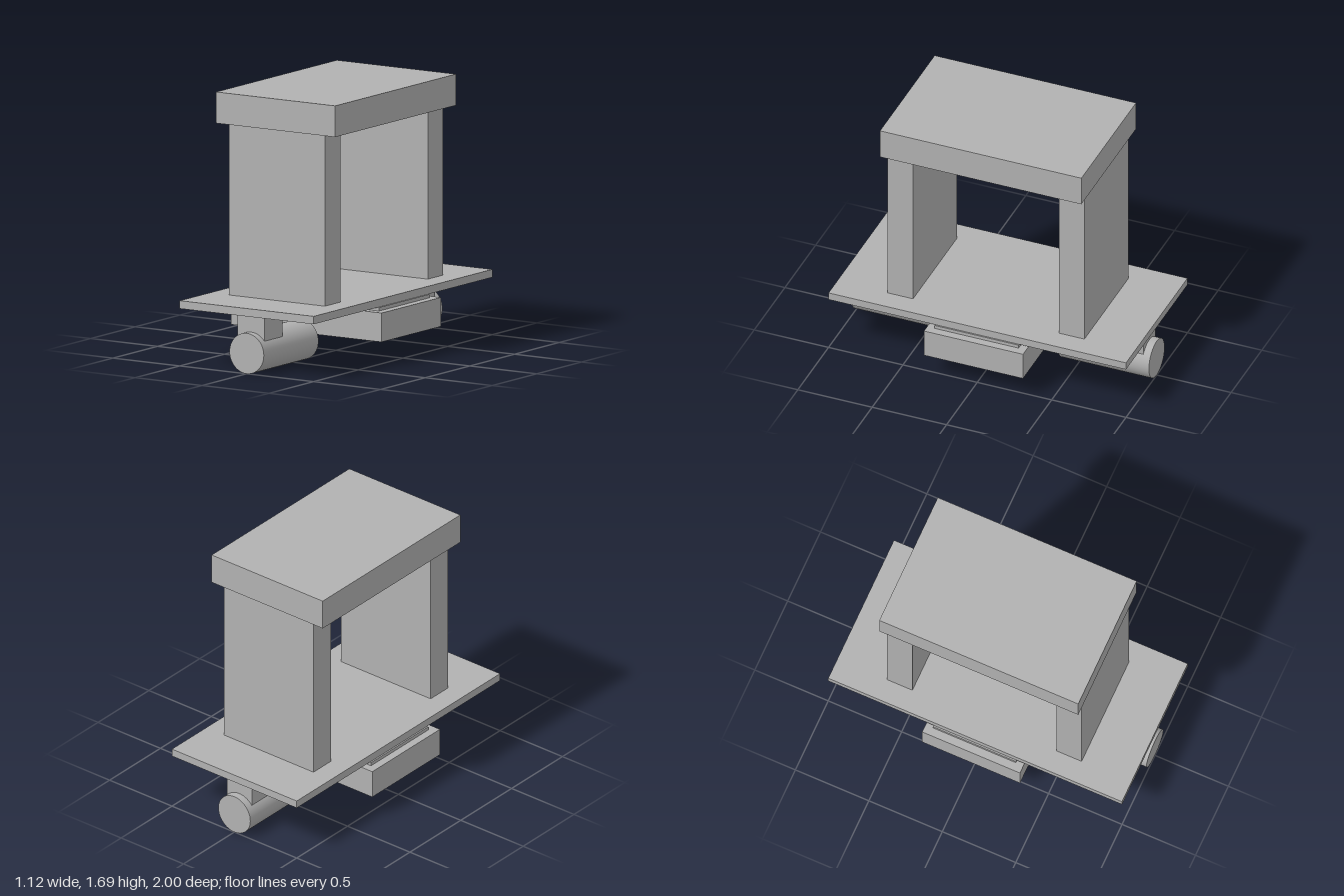
import * as THREE from 'three';

export function createModel() {
  const model = new THREE.Group();
  const grey = new THREE.MeshStandardMaterial({ color: 0xb2b2b2 });
  grey.name = 'grey';

  function add(name, geometry, x, y, z) {
    const mesh = new THREE.Mesh(geometry, grey);
    mesh.name = name;
    mesh.position.set(x, y, z);
    model.add(mesh);
    return mesh;
  }

  // Box given by full width, bottom, top, and z range
  function box(name, width, y0, y1, z0, z1) {
    return add(name, new THREE.BoxGeometry(width, y1 - y0, z1 - z0), 0, (y0 + y1) / 2, (z0 + z1) / 2);
  }

  // Stacked plates
  box('roof', 0.89, 1.49, 1.687, -0.677, 0.677);
  box('deck', 1.0, 0.362, 0.412, -1, 1);
  box('spacer', 1.02, 0.34, 0.362, -0.282, 0.282);
  box('lowerBlock', 1.124, 0.157, 0.34, -0.333, 0.333);

  // Upright walls, brackets and rollers at both ends
  for (const [end, s] of [['front', 1], ['back', -1]]) {
    const mirrored = (name, width, y0, y1, z0, z1) =>
      box(end + name, width, y0, y1, Math.min(s * z0, s * z1), Math.max(s * z0, s * z1));
    mirrored('Wall', 0.718, 0.412, 1.49, 0.49, 0.662);
    mirrored('Bracket', 0.2, 0.206, 0.362, 0.747, 0.951);
    const roller = add(end + 'Roller', new THREE.CylinderGeometry(0.128, 0.128, 0.612, 48), 0, 0.128, s * 0.694);
    roller.rotation.x = Math.PI / 2;
  }

  return model;
}
